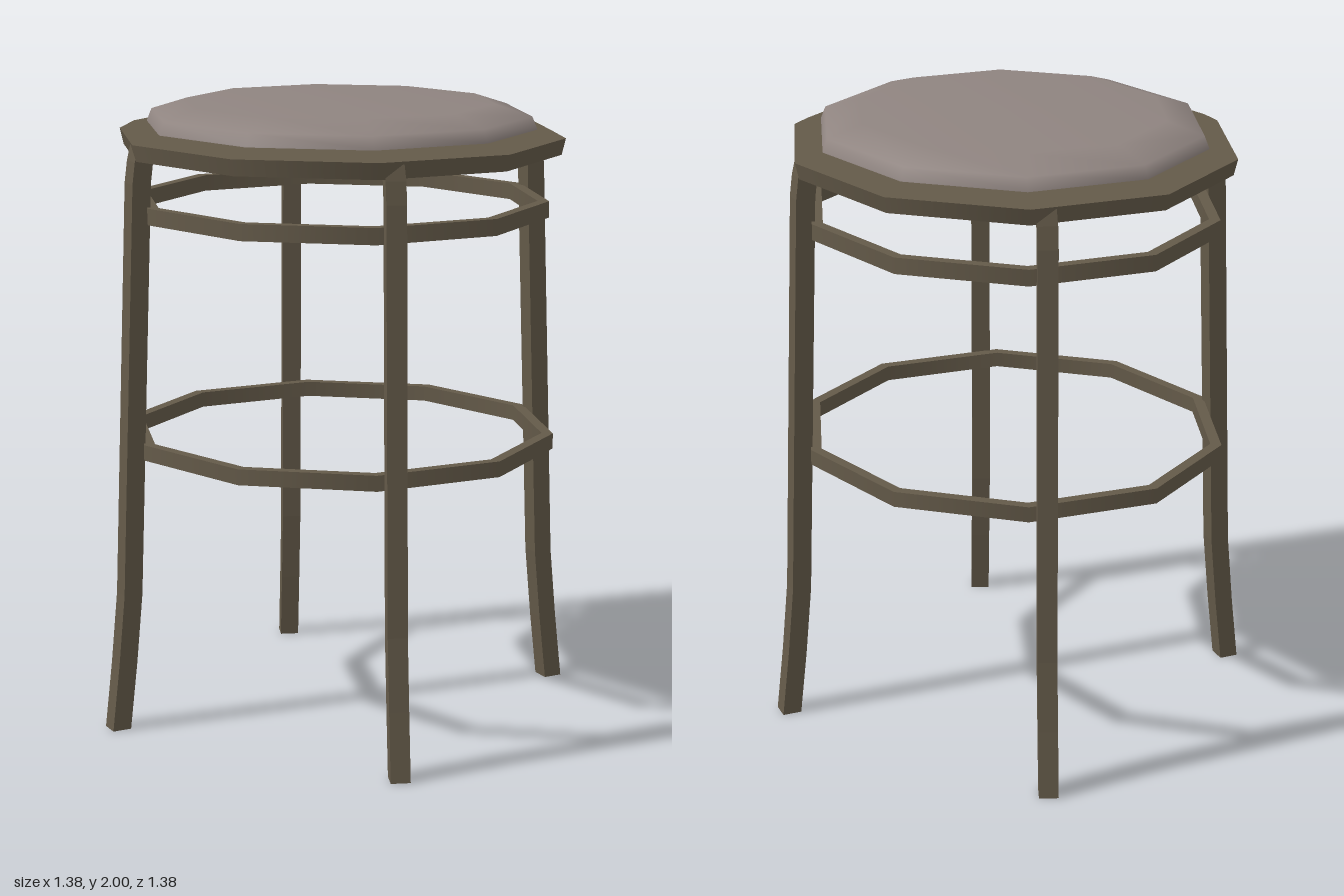
import * as THREE from 'three';
import { mergeGeometries } from 'three/addons/utils/BufferGeometryUtils.js';

const SIDES = 10;
const STRETCH = 1.05; // the seat and rings are slightly wider in x

const wood = new THREE.MeshStandardMaterial({ color: 0x645a49 });
wood.name = 'darkWood';
const fabric = new THREE.MeshStandardMaterial({ color: 0x8f8480 });
fabric.name = 'greyFabric';

// Ten-sided turned part from [radius, height] points, listed bottom to top
function turned(profile) {
  const points = profile.map(([r, y]) => new THREE.Vector2(r, y));
  return new THREE.LatheGeometry(points, SIDES).scale(STRETCH, 1, 1);
}

// As above, smooth around the axis but with sharp edges along the profile
function turnedSharp(profile) {
  return mergeGeometries(profile.slice(1).map((p, i) => turned([profile[i], p])));
}

// Square bar swept up through the centre line, mirrored by the signs sx and sz
function legGeometry(path, half, sx, sz) {
  const n = [0.57, 0.82]; // outward direction in x and z
  const corners = [[-1, -1], [-1, 1], [1, 1], [1, -1]];
  const positions = [];
  for (const [x, y, z] of path) {
    for (const [a, b] of corners) {
      positions.push(
        sx * (x + half * (a * n[0] + b * n[1])),
        y,
        sz * (z + half * (a * n[1] - b * n[0]))
      );
    }
  }
  const index = [];
  const quad = (a, b, c, d) =>
    sx * sz > 0 ? index.push(a, b, c, a, c, d) : index.push(a, c, b, a, d, c);
  for (let i = 0; i < path.length - 1; i++) {
    for (let j = 0; j < 4; j++) {
      const k = (j + 1) % 4;
      quad(i * 4 + j, i * 4 + 4 + j, i * 4 + 4 + k, i * 4 + k);
    }
  }
  // End caps
  const t = (path.length - 1) * 4;
  quad(0, 1, 2, 3);
  quad(t + 3, t + 2, t + 1, t);
  const g = new THREE.BufferGeometry();
  g.setAttribute('position', new THREE.Float32BufferAttribute(positions, 3));
  g.setIndex(index);
  const faceted = g.toNonIndexed();
  faceted.computeVertexNormals();
  return faceted;
}

export function createModel() {
  const group = new THREE.Group();
  group.name = 'stool';
  const add = (name, geometry, material) => {
    const mesh = new THREE.Mesh(geometry, material);
    mesh.name = name;
    group.add(mesh);
  };

  // Seat board: underside and rim
  add('seatRim', turnedSharp([[0, 1.845], [0.678, 1.845], [0.69, 1.897]]), wood);

  // Seat board: softly bevelled top, shaded as one flat face
  const top = turned([[0.69, 1.897], [0.645, 1.922], [0, 1.922]]);
  const normals = top.attributes.normal;
  for (let i = 0; i < normals.count; i++) normals.setXYZ(i, 0, 1, 0);
  add('seatTop', top, wood);

  // Padded cushion with soft shading
  add('cushion', turned([
    [0.603, 1.915], [0.603, 1.925], [0.588, 1.963], [0.475, 2], [0, 2],
  ]), fabric);

  // Brace rings inside the legs
  for (const [name, radius, low, high] of [
    ['upperRing', 0.643, 1.645, 1.697],
    ['footRing', 0.667, 0.895, 0.945],
  ]) {
    const inner = radius - 0.035;
    add(name, turnedSharp([
      [inner, low], [radius, low], [radius, high], [inner, high], [inner, low],
    ]), wood);
  }

  // Four splayed legs, curving in under the seat
  const path = [
    [0.508, 0, 0.573], [0.492, 0.22, 0.554], [0.478, 0.45, 0.538],
    [0.447, 1.77, 0.497], [0.441, 1.84, 0.491], [0.432, 1.888, 0.485],
  ];
  for (const sx of [1, -1]) {
    for (const sz of [1, -1]) {
      const name = (sz > 0 ? 'front' : 'back') + (sx > 0 ? 'Left' : 'Right') + 'Leg';
      add(name, legGeometry(path, 0.031, sx, sz), wood);
    }
  }
  return group;
}
